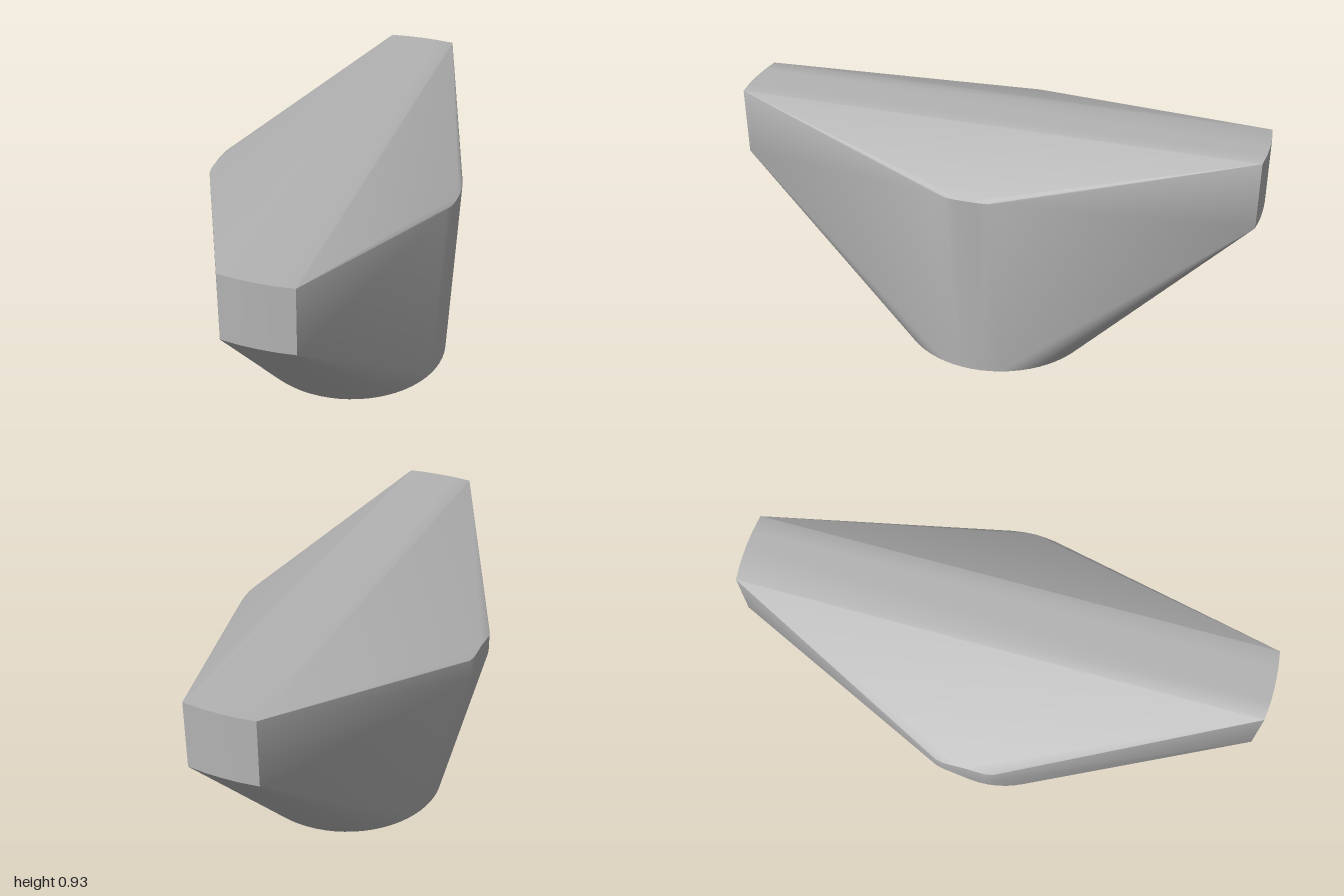
import * as THREE from 'three';
import { ConvexGeometry } from 'three/addons/geometries/ConvexGeometry.js';
import { toCreasedNormals } from 'three/addons/utils/BufferGeometryUtils.js';

export function createModel() {
  const group = new THREE.Group();
  const grey = new THREE.MeshStandardMaterial({ color: 0xb3b3b3 });
  grey.name = 'grey';
  const points = [];
  const add = (x, y, z) => points.push(new THREE.Vector3(x, y, z));

  // Round foot
  const segments = 64;
  for (let i = 0; i < segments; i++) {
    const a = (i / segments) * Math.PI * 2;
    add(0.065 + 0.39 * Math.cos(a), 0, 0.39 * Math.sin(a));
  }

  for (const s of [-1, 1]) {
    // Slightly bowed end faces
    for (const y of [0.665, 0.925]) {
      for (const [x, z] of [[-0.07, 0.99], [0, 0.998], [0.065, 1], [0.13, 0.998], [0.2, 0.99]]) add(x, y, s * z);
    }
    // Blunt side with a short upright face
    for (const [x, z, top] of [[-0.485, 0.08, 0.748], [-0.478, 0.11, 0.747]]) {
      add(x, 0.67, s * z);
      add(x, top, s * z);
    }
    // Rounded shoulder on the opposite side
    for (const [x, y, z] of [[0.483, 0.764, 0.04], [0.478, 0.763, 0.08], [0.468, 0.765, 0.12]]) add(x, y, s * z);
  }
  add(-0.485, 0.754, 0);
  add(0.485, 0.765, 0);
  add(0.484, 0.745, 0);

  // Tapered body wrapped around foot, ends and sides
  const body = new THREE.Mesh(toCreasedNormals(new ConvexGeometry(points), 0.6), grey);
  body.name = 'body';
  group.add(body);
  return group;
}
